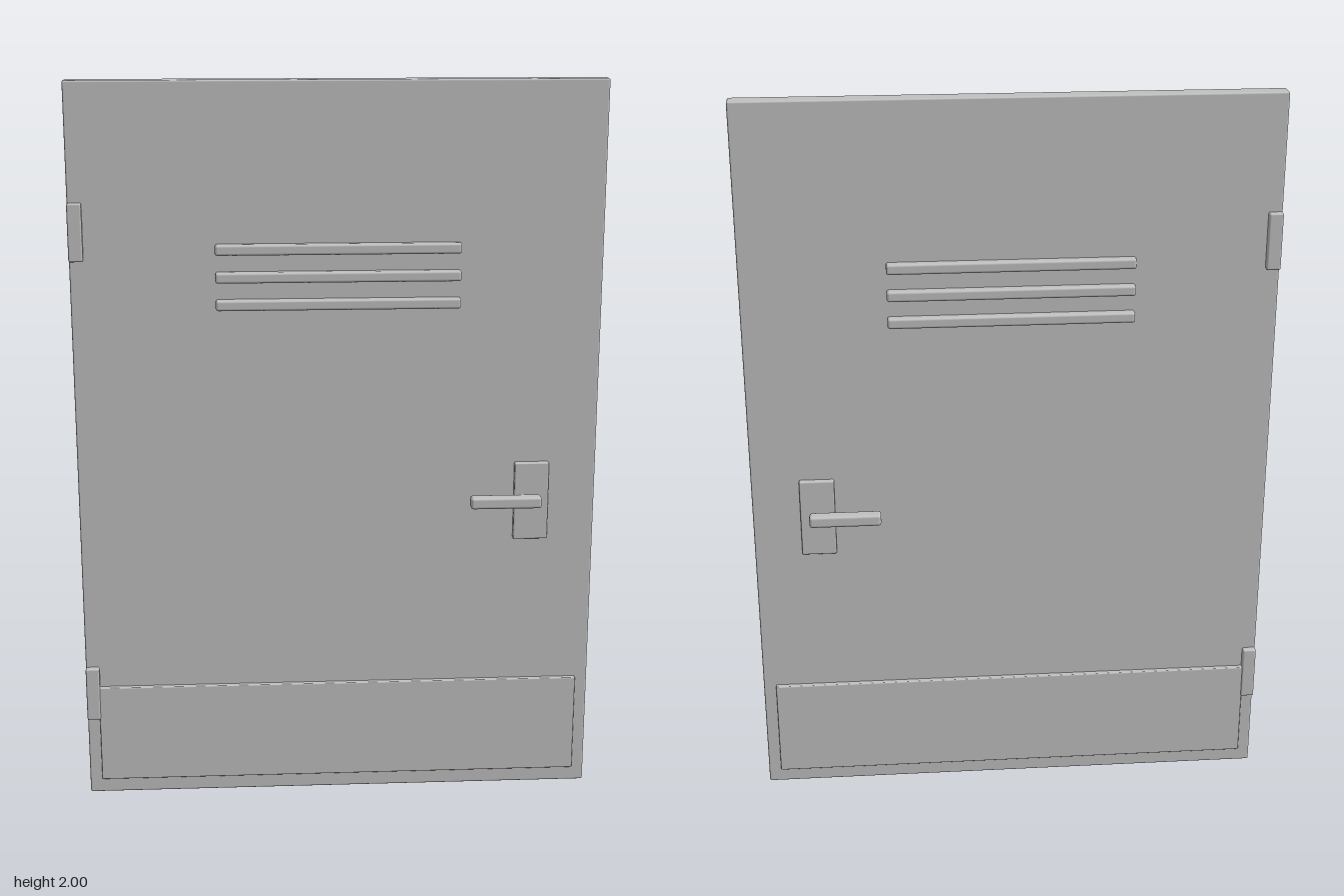
import * as THREE from 'three';
import { RoundedBoxGeometry } from 'three/addons/geometries/RoundedBoxGeometry.js';

export function createModel() {
  const door = new THREE.Group();
  door.name = 'door';
  const paint = new THREE.MeshStandardMaterial({ color: 0xc0c0c0 });
  paint.name = 'greyPaint';

  // Soft-edged box given by its limits on each axis
  function block(name, [x0, x1], [y0, y1], [z0, z1], radius, parent = door) {
    const geometry = new RoundedBoxGeometry(x1 - x0, y1 - y0, z1 - z0, 2, radius);
    const mesh = new THREE.Mesh(geometry, paint);
    mesh.position.set((x0 + x1) / 2, (y0 + y1) / 2, (z0 + z1) / 2);
    mesh.name = name;
    parent.add(mesh);
  }

  // Door leaf
  block('leaf', [-0.71, 0.71], [0, 2], [-0.025, 0.025], 0.005);

  // The same fittings on both faces
  for (const [label, side] of [['front', 1], ['back', -1]]) {
    const fittings = new THREE.Group();
    fittings.name = label + 'Fittings';
    door.add(fittings);
    const depth = (near, far) => (side > 0 ? [near, far] : [-far, -near]);

    // Kick plate along the bottom
    block('kickPlate', [-0.675, 0.675], [0.045, 0.325], depth(0.02, 0.039), 0.003, fittings);

    // Hinge leaves
    for (const y of [0.307, 1.61]) {
      block('hinge', [-0.71, -0.672], [y - 0.077, y + 0.077], depth(0.015, 0.042), 0.005, fittings);
    }

    // Vent louvres
    for (const y of [1.413, 1.487, 1.561]) {
      block('louvre', [-0.327, 0.327], [y - 0.0145, y + 0.0145], depth(0.015, 0.047), 0.007, fittings);
    }

    // Handle plate and lever
    block('handlePlate', [0.485, 0.58], [0.745, 0.965], depth(0.02, 0.04), 0.004, fittings);
    block('lever', [0.36, 0.555], [0.847, 0.88], depth(0.052, 0.087), 0.008, fittings);
  }
  return door;
}
